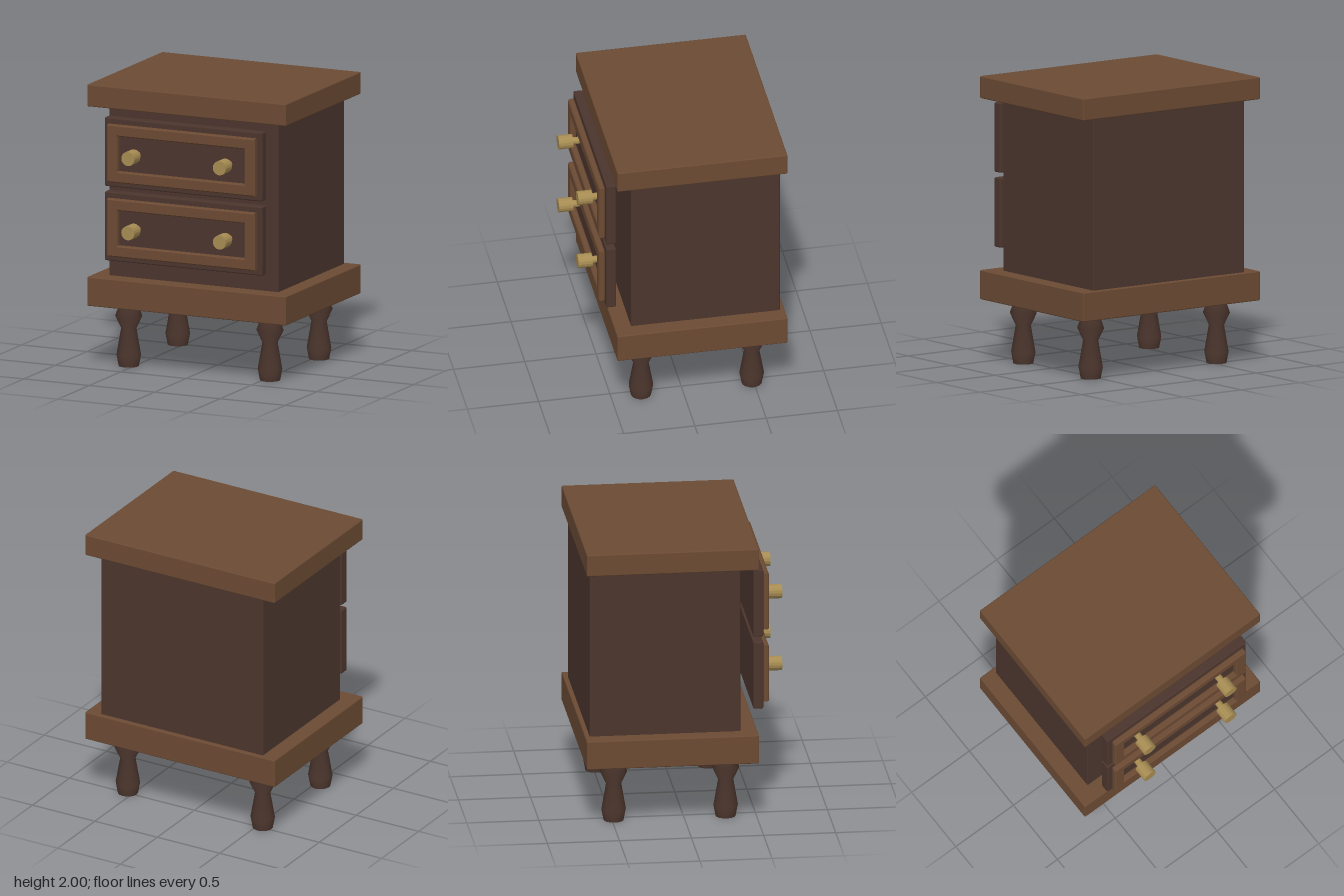
import * as THREE from 'three';
import { RoundedBoxGeometry } from 'three/addons/geometries/RoundedBoxGeometry.js';

const oak = new THREE.MeshStandardMaterial({ color: 0x6b4a33 });
oak.name = 'warm brown wood';
const walnut = new THREE.MeshStandardMaterial({ color: 0x4b352d });
walnut.name = 'dark brown wood';
const brass = new THREE.MeshStandardMaterial({ color: 0xa68b52 });
brass.name = 'brass';

function addMesh(parent, name, geometry, material, x = 0, y = 0, z = 0) {
  const mesh = new THREE.Mesh(geometry, material);
  mesh.name = name;
  mesh.position.set(x, y, z);
  parent.add(mesh);
  return mesh;
}

// Box with softened edges, given by its limits in y and z
function addSlab(parent, name, material, halfWidth, y0, y1, z0, z1, radius = 0.008) {
  const geometry = new RoundedBoxGeometry(2 * halfWidth, y1 - y0, z1 - z0, 2, radius);
  return addMesh(parent, name, geometry, material, 0, (y0 + y1) / 2, (z0 + z1) / 2);
}

function rectangle(target, hw, hh) {
  target.moveTo(-hw, -hh);
  target.lineTo(hw, -hh);
  target.lineTo(hw, hh);
  target.lineTo(-hw, hh);
  target.closePath();
  return target;
}

// Raised moulding with a rectangular opening and chamfered edges
function frameGeometry() {
  const bevel = 0.008, depth = 0.045;
  const shape = rectangle(new THREE.Shape(), 0.565 - bevel, 0.203 - bevel);
  shape.holes.push(rectangle(new THREE.Path(), 0.485 + bevel, 0.124 + bevel));
  const geometry = new THREE.ExtrudeGeometry(shape, {
    depth: depth - 2 * bevel, bevelEnabled: true,
    bevelSize: bevel, bevelThickness: bevel, bevelSegments: 1,
  });
  return geometry.translate(0, 0, bevel);
}

// Turned knob on a thin neck, pointing along +z
function knobGeometry() {
  const points = [[0.025, -0.05], [0.025, 0.055], [0.05, 0.055], [0.05, 0.155], [0, 0.155]];
  const profile = points.map(([r, y]) => new THREE.Vector2(r, y));
  const geometry = new THREE.LatheGeometry(profile, 16).toNonIndexed();
  geometry.computeVertexNormals();
  return geometry.rotateX(Math.PI / 2);
}

// Turned leg with a collar, a waist and a rounded foot
function legGeometry() {
  const points = [[0, 0], [0.07, 0], [0.07, 0], [0.085, 0.08], [0.053, 0.265],
    [0.094, 0.352], [0.066, 0.43], [0.066, 0.45]];
  return new THREE.LatheGeometry(points.map(([r, y]) => new THREE.Vector2(r, y)), 16);
}

export function createModel() {
  const model = new THREE.Group();
  model.name = 'nightstand';

  // Carcass
  addSlab(model, 'tabletop', oak, 0.76, 1.845, 2, -0.697, 0.497);
  addSlab(model, 'base', oak, 0.76, 0.44, 0.645, -0.697, 0.497);
  addSlab(model, 'cabinet', walnut, 0.648, 0.638, 1.852, -0.665, 0.38);

  // Drawers, standing proud of the cabinet
  const frame = frameGeometry();
  const knob = knobGeometry();
  for (const [name, y] of [['upperDrawer', 1.551], ['lowerDrawer', 1.028]]) {
    const drawer = new THREE.Group();
    drawer.name = name;
    drawer.position.y = y;
    addSlab(drawer, 'drawerFront', walnut, 0.602, -0.243, 0.243, 0.475, 0.545, 0.01);
    addMesh(drawer, 'drawerFrame', frame, oak, 0, 0, 0.544);
    for (const side of [1, -1]) {
      addMesh(drawer, side > 0 ? 'leftKnob' : 'rightKnob', knob, brass, side * 0.35, 0, 0.545);
    }
    model.add(drawer);
  }

  // Legs
  const leg = legGeometry();
  for (const side of [1, -1]) {
    const sideName = side > 0 ? 'Left' : 'Right';
    addMesh(model, 'front' + sideName + 'Leg', leg, walnut, side * 0.54, 0, 0.29);
    addMesh(model, 'back' + sideName + 'Leg', leg, walnut, side * 0.54, 0, -0.487);
  }
  return model;
}
